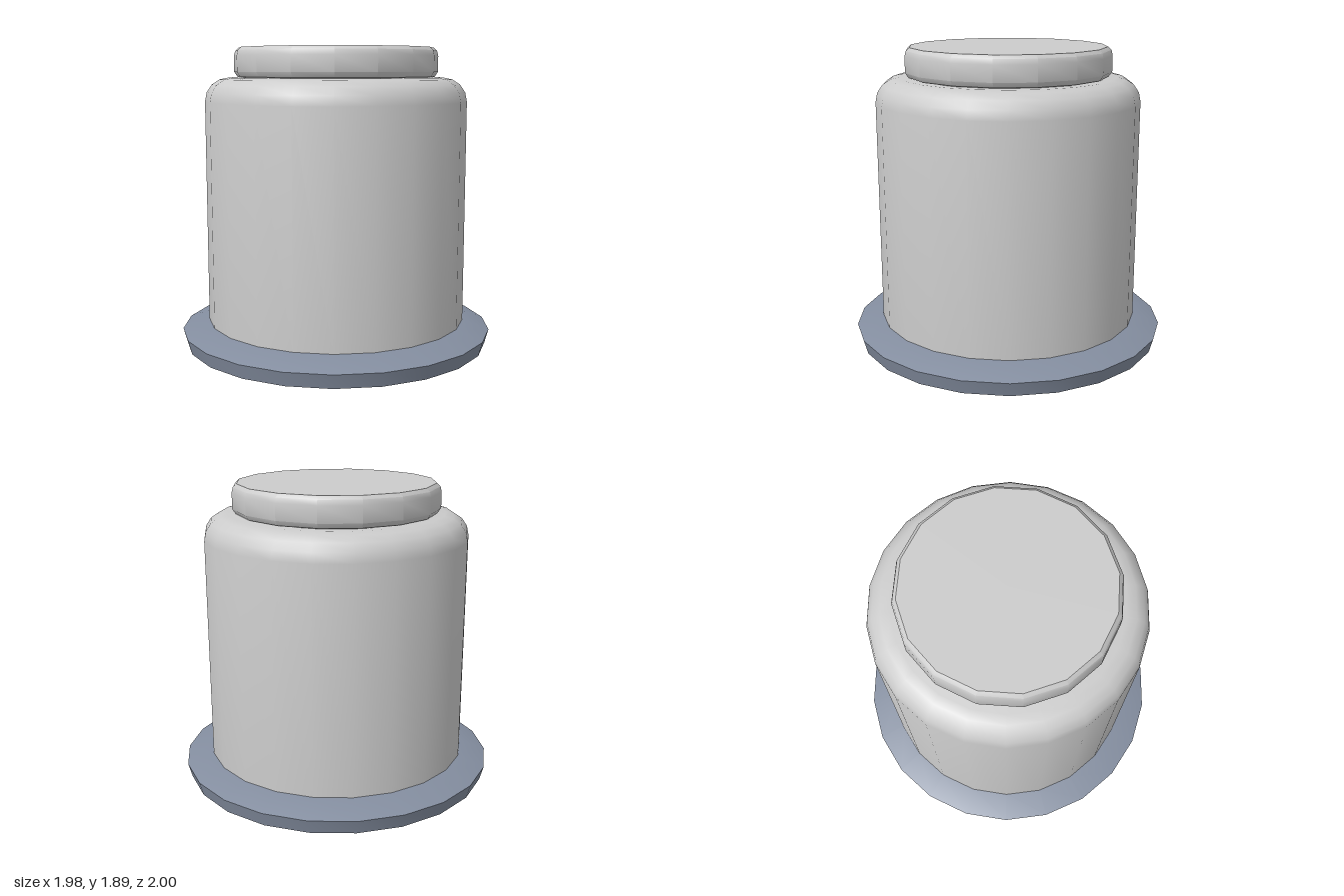
import * as THREE from 'three';
import { toCreasedNormals } from 'three/addons/utils/BufferGeometryUtils.js';

const GREY = 0xcccccc, SLATE = 0x848ea0, DARK = 0x1c1822, AMBER = 0xb08040;

// Turned part from a profile of [radius, height] pairs; the surface faces right of the path
function turned(name, profile, sides, color) {
  const points = profile.map(([r, y]) => new THREE.Vector2(r, y));
  const geometry = toCreasedNormals(new THREE.LatheGeometry(points, sides), 0.6);
  const mesh = new THREE.Mesh(geometry, new THREE.MeshStandardMaterial({ color }));
  mesh.name = name;
  return mesh;
}

// Quarter-round from vertical to horizontal
function shoulder(r, y, radius, steps) {
  return Array.from({ length: steps + 1 }, (_, i) => {
    const a = (i / steps) * Math.PI / 2;
    return [r + radius * Math.cos(a), y + radius * Math.sin(a)];
  });
}

export function createModel() {
  const model = new THREE.Group();
  model.name = 'cappedCanister';

  // Flared foot ring
  model.add(turned('footRing', [[0.69, 0], [0.975, 0], [1, 0.09], [0.83, 0.15], [0.8, 0.15]], 22, SLATE));

  // Main drum with rounded shoulder
  model.add(turned('body', [[0.83, 0.13], ...shoulder(0.68, 1.555, 0.15, 4), [0, 1.705]], 22, GREY));

  // Cap with softened rims
  model.add(turned('cap', [
    [0.6, 1.7], [0.63, 1.71], [0.65, 1.74], [0.65, 1.84], [0.642, 1.872], [0.62, 1.892], [0, 1.892],
  ], 16, GREY));

  // Open underside: lip, step, dark bore and its end plate
  model.add(turned('openingLip', [[0.69, 0.06], [0.69, 0]], 22, GREY));
  model.add(turned('openingStep', [[0.64, 0.06], [0.69, 0.06]], 22, SLATE));
  model.add(turned('bore', [[0.64, 0.69], [0.64, 0.06]], 22, DARK));
  model.add(turned('borePlate', [[0, 0.69], [0.64, 0.69]], 22, AMBER));

  return model;
}
